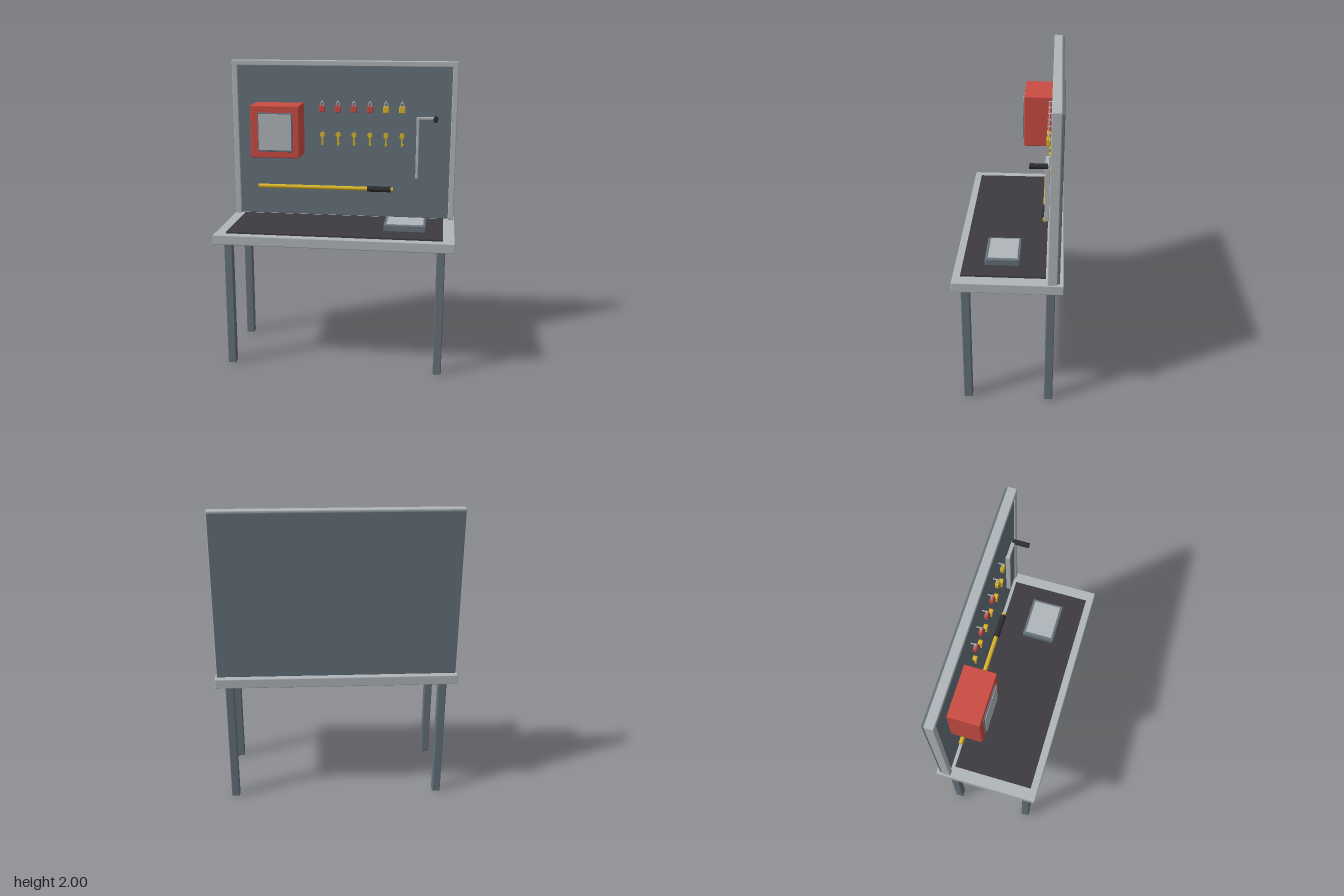
import * as THREE from 'three';
import { RoundedBoxGeometry } from 'three/addons/geometries/RoundedBoxGeometry.js';

function material(name, color) {
  const m = new THREE.MeshStandardMaterial({ color });
  m.name = name;
  return m;
}

export function createModel() {
  const model = new THREE.Group();
  model.name = 'workbench';
  const light = material('lightGrey', 0xb0b5b9);
  const slate = material('slate', 0x65717a);
  const dark = material('matBlack', 0x3d3a40);
  const grip = material('gripBlack', 0x2d2d31);
  const red = material('red', 0xca4c43);
  const yellow = material('yellow', 0xd8b42c);

  function add(name, geometry, mat, parent = model) {
    const mesh = new THREE.Mesh(geometry, mat);
    mesh.name = name;
    parent.add(mesh);
    return mesh;
  }
  // Box given by its limits on each axis, with optional softened edges
  function box(name, mat, [x0, x1], [y0, y1], [z0, z1], r = 0, parent = model) {
    const size = [x1 - x0, y1 - y0, z1 - z0];
    const geo = r ? new RoundedBoxGeometry(...size, 2, r) : new THREE.BoxGeometry(...size);
    const mesh = add(name, geo, mat, parent);
    mesh.position.set((x0 + x1) / 2, (y0 + y1) / 2, (z0 + z1) / 2);
    return mesh;
  }
  // Cylinder between two points
  function rod(name, mat, a, b, r, parent = model, sides = 20) {
    const from = new THREE.Vector3(...a), to = new THREE.Vector3(...b);
    const dir = to.clone().sub(from);
    const mesh = add(name, new THREE.CylinderGeometry(r, r, dir.length(), sides), mat, parent);
    mesh.position.copy(from).add(to).multiplyScalar(0.5);
    mesh.quaternion.setFromUnitVectors(new THREE.Vector3(0, 1, 0), dir.normalize());
    return mesh;
  }

  // Table
  box('tableTop', light, [-0.78, 0.78], [0.855, 0.92], [-0.336, 0.336], 0.006);
  box('workMat', dark, [-0.702, 0.702], [0.918, 0.93], [-0.228, 0.287]);
  for (const x of [-0.693, 0.693]) {
    for (const z of [-0.26, 0.26]) {
      box('leg', slate, [x - 0.027, x + 0.027], [0, 0.86], [z - 0.027, z + 0.027], 0.006);
    }
  }

  // Back board and its frame
  box('backPanel', slate, [-0.766, 0.766], [0.925, 1.99], [-0.312, -0.25], 0.004);
  for (const s of [-1, 1]) {
    box('sideFrame', light, [s * 0.752 - 0.019, s * 0.752 + 0.019], [0.918, 1.998], [-0.297, -0.24], 0.005);
  }
  box('topFrame', light, [-0.771, 0.771], [1.964, 2.0], [-0.297, -0.24], 0.005);

  // Wall cabinet with framed window
  const cabinet = new THREE.Group();
  cabinet.name = 'cabinet';
  model.add(cabinet);
  box('cabinetBody', red, [-0.605, -0.272], [1.362, 1.715], [-0.255, -0.05], 0.007, cabinet);
  box('windowFrame', slate, [-0.553, -0.317], [1.405, 1.668], [-0.055, -0.042], 0.004, cabinet);
  box('window', light, [-0.546, -0.325], [1.418, 1.66], [-0.045, -0.039], 0, cabinet);

  // Row of padlocks above a row of keys
  for (let i = 0; i < 6; i++) {
    const x = -0.143 + i * 0.1094;
    const lock = new THREE.Group();
    lock.name = 'padlock';
    model.add(lock);
    box('lockBody', i < 4 ? red : yellow, [x - 0.021, x + 0.021], [1.656, 1.702], [-0.235, -0.211], 0.006, lock);
    const shackle = add('shackle', new THREE.TorusGeometry(0.011, 0.0035, 8, 16, Math.PI), light, lock);
    shackle.position.set(x, 1.714, -0.223);
    for (const s of [-1, 1]) {
      rod('shackleLeg', light, [x + s * 0.011, 1.698, -0.223], [x + s * 0.011, 1.714, -0.223], 0.0035, lock, 8);
    }
    rod('peg', light, [x, 1.731, -0.255], [x, 1.731, -0.214], 0.004, lock, 10);

    const key = new THREE.Group();
    key.name = 'key';
    model.add(key);
    rod('keyHead', yellow, [x, 1.5, -0.25], [x, 1.5, -0.225], 0.017, key, 20);
    box('keyBlade', yellow, [x - 0.006, x + 0.006], [1.427, 1.492], [-0.242, -0.23], 0, key);
    box('keyTooth', yellow, [x, x + 0.011], [1.436, 1.444], [-0.24, -0.232], 0, key);
  }

  // Long pole with grip
  const pole = new THREE.Group();
  pole.name = 'pole';
  model.add(pole);
  rod('poleShaft', yellow, [-0.595, 1.131, -0.211], [0.352, 1.131, -0.211], 0.0145, pole);
  rod('poleGrip', grip, [0.173, 1.131, -0.211], [0.336, 1.131, -0.211], 0.02, pole);

  // Crank bar with handle
  const crank = new THREE.Group();
  crank.name = 'crank';
  model.add(crank);
  box('crankShaft', light, [0.502, 0.52], [1.212, 1.634], [-0.237, -0.208], 0.003, crank);
  box('crankArm', light, [0.502, 0.625], [1.617, 1.634], [-0.234, -0.211], 0.003, crank);
  rod('crankHandle', grip, [0.63, 1.626, -0.226], [0.63, 1.626, -0.12], 0.016, crank);

  // Small tray lying on the mat
  const tray = new THREE.Group();
  tray.name = 'tray';
  model.add(tray);
  box('trayBody', slate, [0.315, 0.59], [0.93, 0.976], [-0.066, 0.149], 0.007, tray);
  box('trayTop', light, [0.333, 0.573], [0.972, 0.979], [-0.05, 0.131], 0, tray);

  return model;
}
